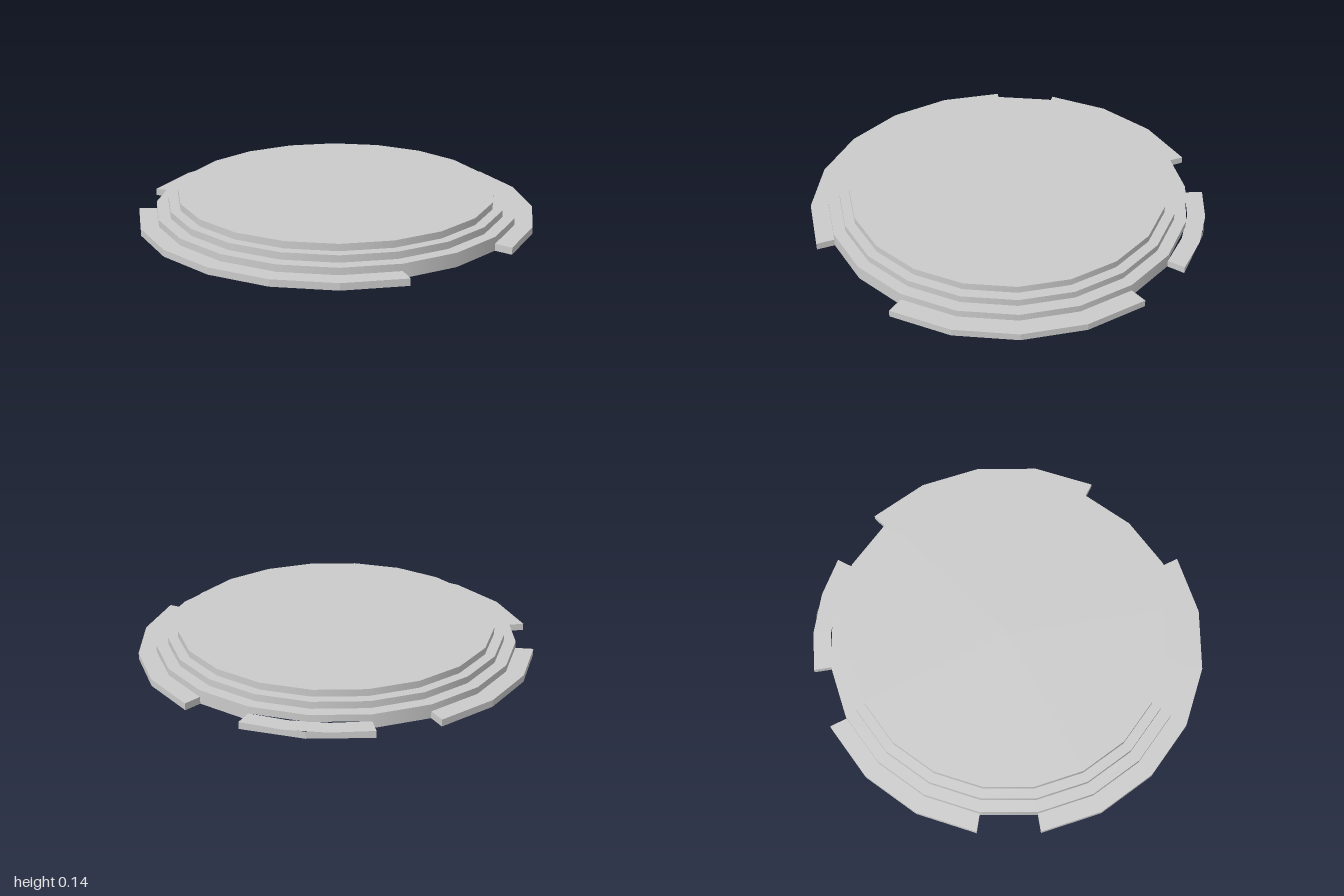
import * as THREE from 'three';

const SIDES = 20, STEP = (Math.PI * 2) / SIDES, TWIST = -Math.PI / 180;
const H = 0.035; // height of every tier

export function createModel() {
  const model = new THREE.Group();
  model.name = 'steppedLid';
  const smooth = new THREE.MeshStandardMaterial({ color: 0xcccccc, side: THREE.DoubleSide });
  const flat = new THREE.MeshStandardMaterial({ color: 0xcccccc, side: THREE.DoubleSide, flatShading: true });

  const add = (parent, name, geometry, material) => {
    const mesh = new THREE.Mesh(geometry, material);
    mesh.name = name;
    parent.add(mesh);
  };
  const angle = (i) => TWIST + i * STEP;

  // Upright wall between polygon corners i and j
  const wall = (r, y, i, j) =>
    new THREE.CylinderGeometry(r, r, H, j - i, 1, true, angle(i), (j - i) * STEP).translate(0, y + H / 2, 0);
  // Level tread between polygon corners i and j
  const tread = (r0, r1, y, i, j) =>
    new THREE.RingGeometry(r0, r1, j - i, 1, angle(i) - Math.PI / 2, (j - i) * STEP)
      .rotateX(-Math.PI / 2).translate(0, y, 0);

  // Hollow stepped tiers, closed by the top plate
  const radii = [0.91, 0.85, 0.8];
  radii.forEach((r, n) => {
    const y = H * (n + 1);
    add(model, 'tierWall', wall(r, y, 0, SIDES), smooth);
    if (n < 2) add(model, 'tierTread', tread(radii[n + 1], r, y + H, 0, SIDES), flat);
  });
  add(model, 'topPlate', new THREE.CircleGeometry(0.8, SIDES, angle(0) - Math.PI / 2)
    .rotateX(-Math.PI / 2).translate(0, 4 * H, 0), flat);

  // Flange sections around the base, each with a skirt and two end walls
  for (const [i, j] of [[1, 5], [6, 8], [9, 12], [13, 19]]) {
    const flange = new THREE.Group();
    flange.name = 'flangeSection';
    add(flange, 'flangeTop', tread(0.91, 1, H, i, j), flat);
    add(flange, 'flangeSkirt', wall(1, 0, i, j), flat);
    for (const k of [i, j]) {
      add(flange, 'flangeEnd', new THREE.PlaneGeometry(0.09, H)
        .translate(0.955, H / 2, 0).rotateY(angle(k) - Math.PI / 2), flat);
    }
    model.add(flange);
  }

  // Recessed walls in the notches between flange sections
  for (const [i, j] of [[-1, 1], [5, 6], [8, 9], [12, 13]]) {
    add(model, 'notchWall', wall(0.91, 0, i, j), smooth);
  }

  model.position.z = 0.02;
  return model;
}
